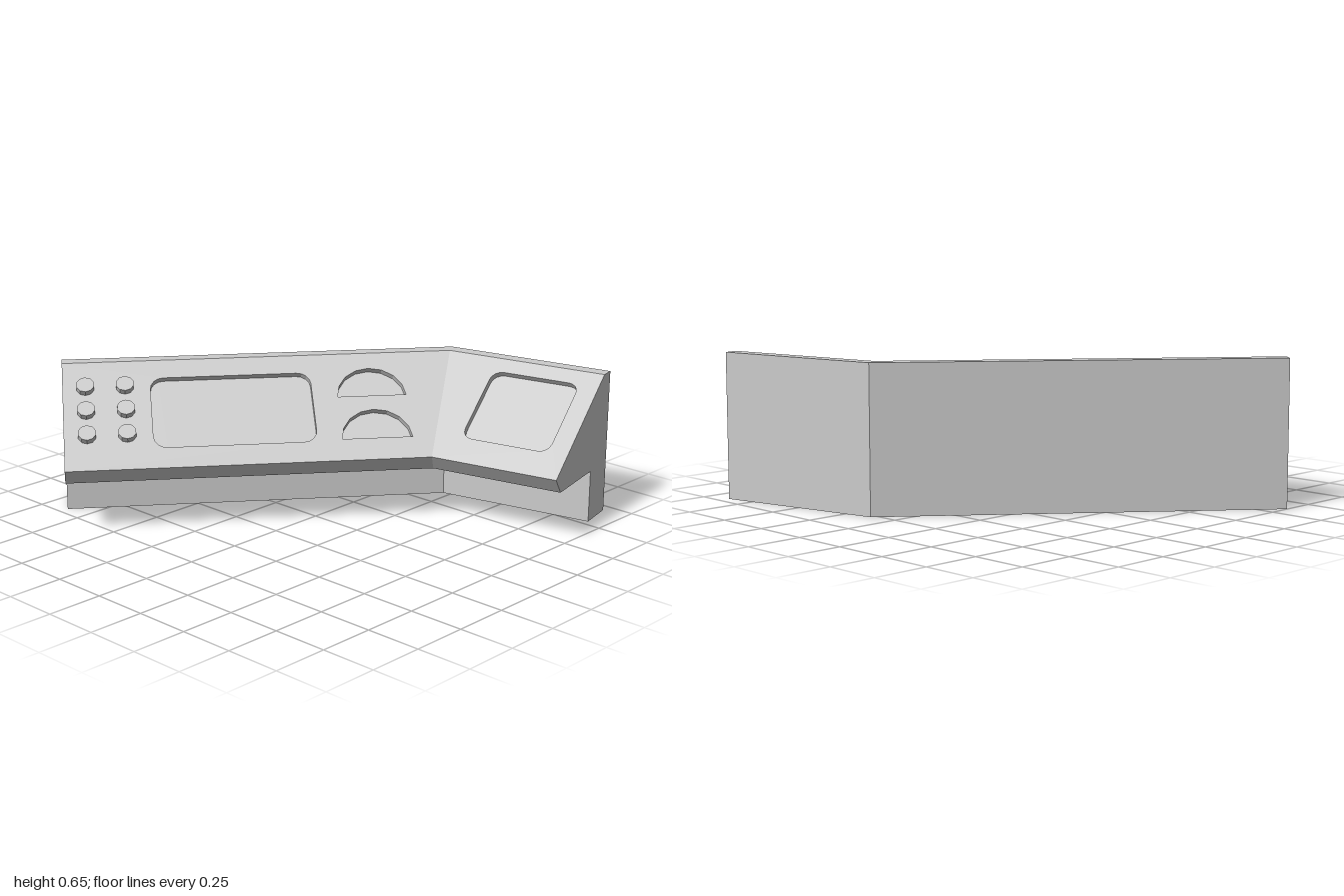
import * as THREE from 'three';

const V = (x, y, z) => new THREE.Vector3(x, y, z);
const UP = V(0, 1, 0);
const material = new THREE.MeshStandardMaterial({ color: 0xcccccc, flatShading: true });

// Plan of the back wall: long wing, bend, short wing
const plan = [V(-1, 0, 0.6), V(0.12, 0, -0.78), V(0.88, 0, -0.95)];
const along = [0, 1].map(i => plan[i + 1].clone().sub(plan[i]).normalize());
const out = along.map(a => a.clone().cross(UP)); // towards the operator
const miter = out[0].clone().add(out[1]).divideScalar(1 + out[0].dot(out[1]));
const offsets = [out[0], miter, out[1]];

// Cross-section as [distance from back wall, height]; edge 2-3 is the sloping panel
const profile = [[0, 0], [0, 0.65], [0.064, 0.65], [0.54, 0.305], [0.49, 0.235], [0.17, 0.235], [0.17, 0]];
const PANEL = 2;
const DEPTH = 0.025;
const at = (i, j) => plan[i].clone().addScaledVector(offsets[i], profile[j][0]).setY(profile[j][1]);

function meshOf(name, geometry) {
  const mesh = new THREE.Mesh(geometry, material);
  mesh.name = name;
  return mesh;
}

function quads(list) {
  const pos = [];
  for (const [a, b, c, d] of list) for (const p of [a, b, c, a, c, d]) pos.push(p.x, p.y, p.z);
  const g = new THREE.BufferGeometry();
  g.setAttribute('position', new THREE.Float32BufferAttribute(pos, 3));
  g.computeVertexNormals();
  return g;
}

// Swept shell, leaving the sloping face for the panels
function shell() {
  const list = [];
  for (let i = 0; i < 2; i++) {
    profile.forEach((_, j) => {
      if (j === PANEL) return;
      const k = (j + 1) % profile.length;
      list.push([at(i, j), at(i, k), at(i + 1, k), at(i + 1, j)]);
    });
  }
  return meshOf('consoleBody', quads(list));
}

// Flat end of the cross-section; sign -1 faces the far end
function endCap(name, i, sign) {
  const shape = new THREE.Shape(profile.map(([d, y]) => new THREE.Vector2(sign * d, y)));
  const x = offsets[i].clone().multiplyScalar(sign);
  const m = new THREE.Matrix4().makeBasis(x, UP, x.clone().cross(UP)).setPosition(plan[i]);
  return meshOf(name, new THREE.ShapeGeometry(shape).applyMatrix4(m));
}

// Arc points, counter-clockwise
function arc(cx, cy, r, from, to, n) {
  return Array.from({ length: n + 1 }, (_, i) => {
    const t = from + (to - from) * i / n;
    return new THREE.Vector2(cx + r * Math.cos(t), cy + r * Math.sin(t));
  });
}

function roundedRect(x0, x1, y0, y1, r) {
  const q = Math.PI / 2;
  return [[x1 - r, y1 - r], [x0 + r, y1 - r], [x0 + r, y0 + r], [x1 - r, y0 + r]]
    .flatMap(([x, y], i) => arc(x, y, r, i * q, (i + 1) * q, 4));
}

const halfDisc = (x, y, r) => arc(x, y, r, 0, Math.PI, 8);

// Sloping face of one wing with sunken recesses; local x runs along, y up the slope
function panel(name, i, recesses) {
  const group = new THREE.Group();
  group.name = name;
  const origin = at(i, PANEL);
  const normalRun = profile[3][0] - profile[2][0];
  const drop = profile[3][1] - profile[2][1];
  const upSlope = out[i].clone().multiplyScalar(-normalRun).setY(-drop).normalize();
  const normal = along[i].clone().cross(upSlope);
  group.applyMatrix4(new THREE.Matrix4().makeBasis(along[i], upSlope, normal).setPosition(origin));

  const corners = [at(i, 2), at(i, 3), at(i + 1, 3), at(i + 1, 2)].map(p => {
    p.sub(origin);
    return new THREE.Vector2(p.dot(along[i]), p.dot(upSlope));
  });
  const face = new THREE.Shape(corners);
  for (const { label, points } of recesses) {
    face.holes.push(new THREE.Path(points));
    // Inward-facing walls and floor
    const walls = points.map((p, k) => {
      const q = points[(k + 1) % points.length];
      return [V(p.x, p.y, 0), V(q.x, q.y, 0), V(q.x, q.y, -DEPTH), V(p.x, p.y, -DEPTH)];
    });
    group.add(meshOf(label + 'Rim', quads(walls)));
    const floor = new THREE.ShapeGeometry(new THREE.Shape(points)).translate(0, 0, -DEPTH);
    group.add(meshOf(label, floor));
  }
  group.add(meshOf(name + 'Face', new THREE.ShapeGeometry(face)));
  return group;
}

export function createModel() {
  const model = new THREE.Group();
  model.name = 'controlConsole';
  model.add(shell(), endCap('rightEnd', 0, 1), endCap('leftEnd', 2, -1));

  const longPanel = panel('longPanel', 0, [
    { label: 'mainScreen', points: roundedRect(0.386, 1.1, -0.48, -0.1, 0.06) },
    { label: 'upperGauge', points: halfDisc(1.367, -0.241, 0.154) },
    { label: 'lowerGauge', points: halfDisc(1.365, -0.473, 0.156) },
  ]);
  const shortPanel = panel('shortPanel', 1, [
    { label: 'sideScreen', points: roundedRect(0.252, 0.667, -0.457, -0.075, 0.05) },
  ]);
  model.add(longPanel, shortPanel);

  // Two columns of three round buttons
  for (const x of [0.1, 0.274]) {
    for (const y of [-0.143, -0.274, -0.405]) {
      const button = meshOf('button', new THREE.CylinderGeometry(0.04, 0.04, 0.04, 10).rotateX(Math.PI / 2));
      button.position.set(x, y, 0.007);
      longPanel.add(button);
    }
  }
  return model;
}
